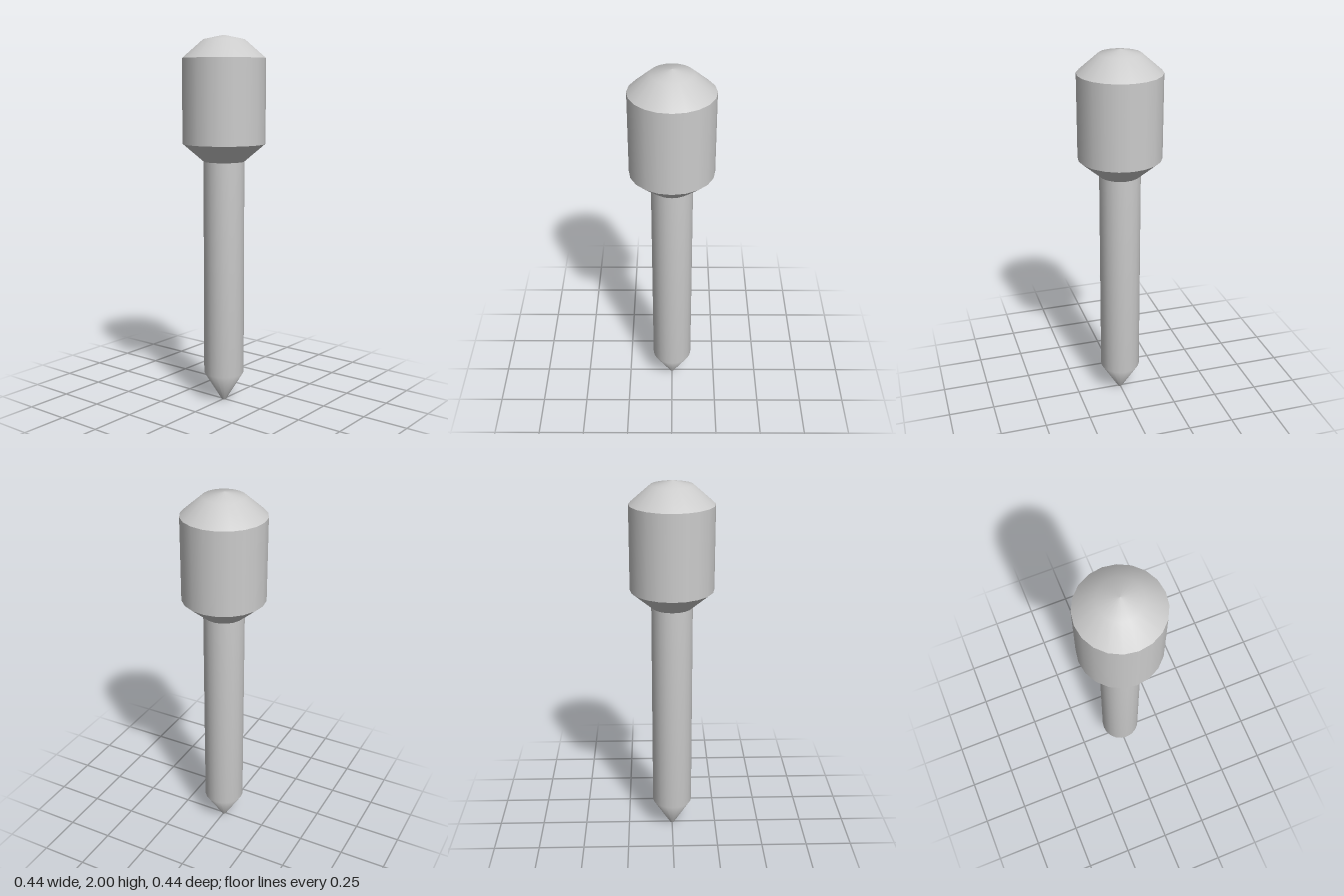
import * as THREE from 'three';

const SIDES = 20;

export function createModel() {
  const group = new THREE.Group();
  const material = new THREE.MeshStandardMaterial({ color: 0xcccccc });

  // Each part is a turned profile of [radius, height] points, bottom to top.
  // Separate parts keep a sharp edge where they meet.
  const turn = (name, profile) => {
    const points = profile.map(([r, y]) => new THREE.Vector2(r, y));
    const mesh = new THREE.Mesh(new THREE.LatheGeometry(points, SIDES), material);
    mesh.name = name;
    group.add(mesh);
  };

  turn('tipEnd', [[0, 0], [0.012, 0]]);
  // Pointed tip blends smoothly into the shaft
  turn('shaft', [[0.012, 0], [0.11, 0.16], [0.11, 1.335]]);
  turn('collar', [[0.11, 1.335], [0.222, 1.43]]);
  turn('head', [[0.222, 1.43], [0.222, 1.88]]);
  turn('dome', [[0.222, 1.88], [0.11, 1.977], [0, 2]]);

  return group;
}
